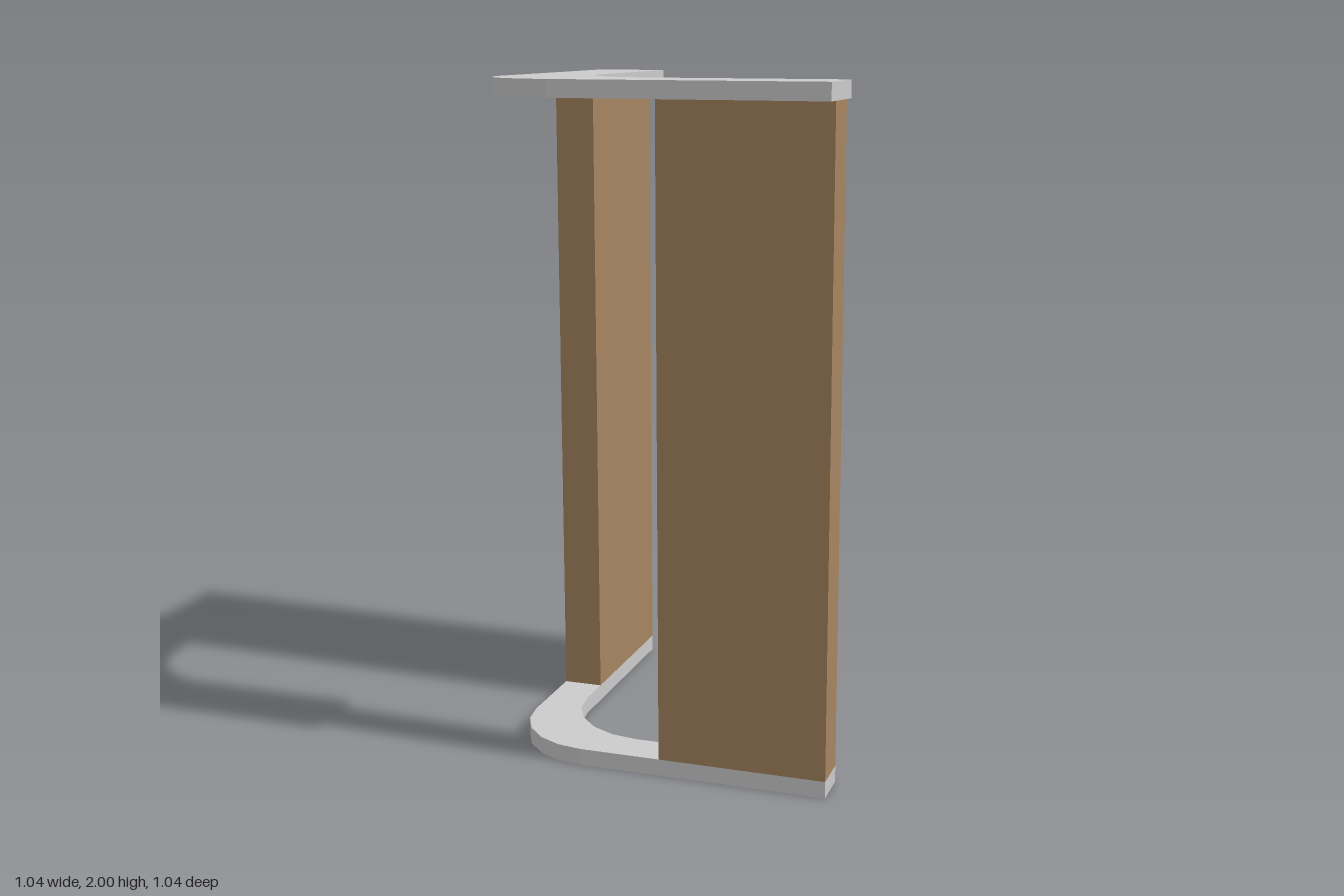
import * as THREE from 'three';

const EDGE = 0.5225;   // half the footprint
const PLATE = 0.05;    // plate thickness
const HEIGHT = 2;
const OUTER = 0.4725;  // outer face of the panels
const DEPTH = 0.12;    // panel thickness

const grey = new THREE.MeshStandardMaterial({ color: 0xcccccc, flatShading: true });
const wood = new THREE.MeshStandardMaterial({ color: 0xa68560, flatShading: true });

// Quarter-round corner in five facets, from the side arm to the front arm
function corner(edge, radius) {
  const points = [];
  for (let i = 0; i <= 5; i++) {
    const a = (i / 5) * Math.PI / 2;
    points.push(new THREE.Vector2(
      -edge + radius - radius * Math.cos(a),
      edge - radius + radius * Math.sin(a)));
  }
  return points;
}

// L-shaped plate with rounded inner and outer corners
function plate(name, outer, inner, y) {
  const shape = new THREE.Shape([
    new THREE.Vector2(-outer, -EDGE),
    ...corner(outer, 0.25),
    new THREE.Vector2(EDGE, outer),
    new THREE.Vector2(EDGE, inner),
    ...corner(inner, 0.26).reverse(),
    new THREE.Vector2(-inner, -EDGE),
  ]);
  const geometry = new THREE.ExtrudeGeometry(shape, { depth: PLATE, bevelEnabled: false });
  geometry.rotateX(Math.PI / 2);
  geometry.translate(0, y + PLATE, 0);
  const mesh = new THREE.Mesh(geometry, grey);
  mesh.name = name;
  return mesh;
}

// Upright panel standing between the plates
function panel(name, width, depth, x, z) {
  const mesh = new THREE.Mesh(new THREE.BoxGeometry(width, HEIGHT - 2 * PLATE, depth), wood);
  mesh.position.set(x, HEIGHT / 2, z);
  mesh.name = name;
  return mesh;
}

export function createModel() {
  const group = new THREE.Group();
  group.name = 'cornerCounter';

  // Narrow base and overhanging top
  group.add(plate('basePlate', OUTER, OUTER - DEPTH, 0));
  group.add(plate('counterTop', EDGE, EDGE - 0.22, HEIGHT - PLATE));

  // One panel at the end of each arm, leaving the corner open
  const length = 0.5;
  const along = EDGE - length / 2;
  const across = OUTER - DEPTH / 2;
  group.add(panel('frontPanel', length, DEPTH, along, across));
  group.add(panel('sidePanel', DEPTH, length, -across, -along));

  return group;
}
